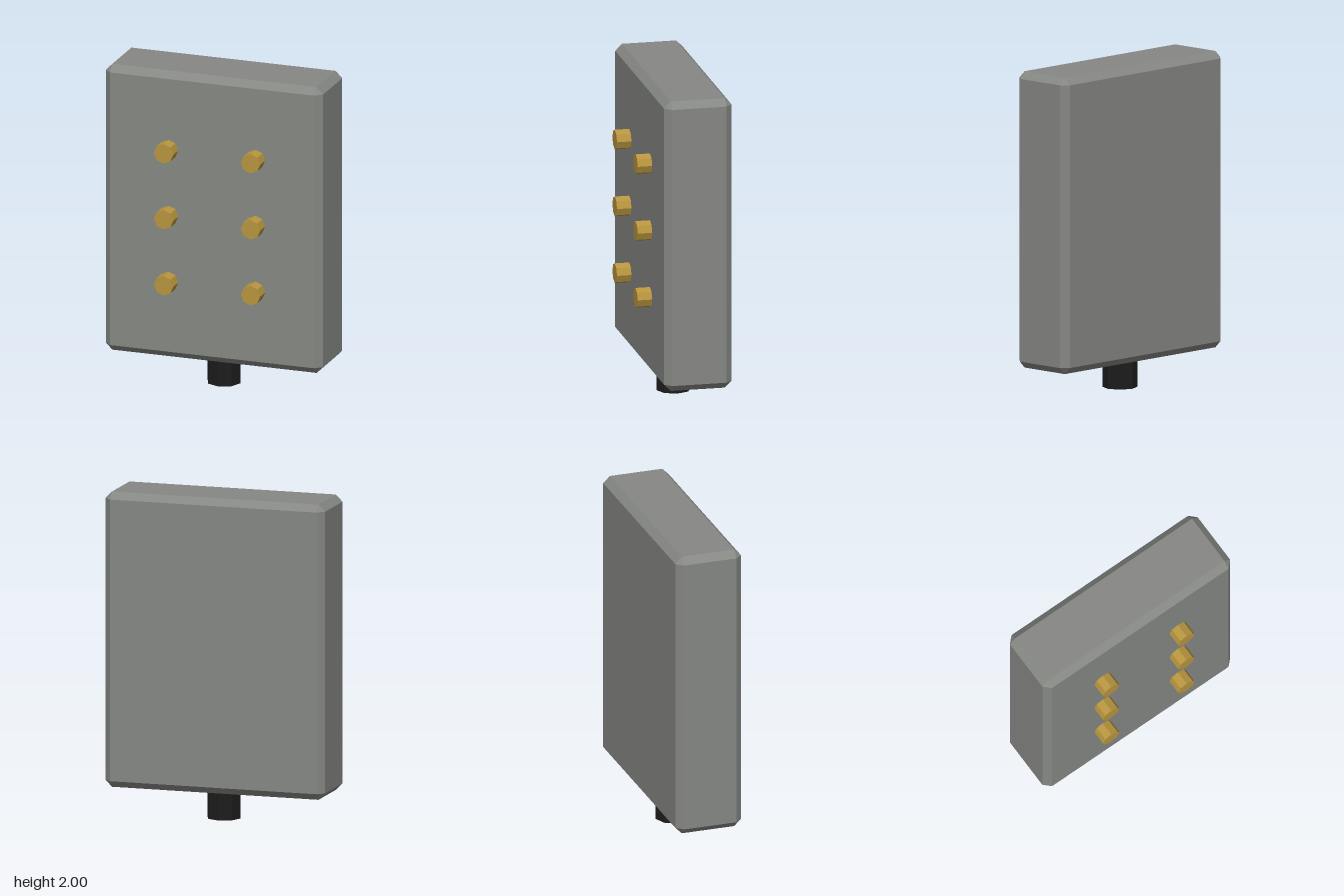
import * as THREE from 'three';
import { ConvexGeometry } from 'three/addons/geometries/ConvexGeometry.js';

// Box with every edge bevelled flat and triangular corners
function chamferedBox(w, h, d, c) {
  const x = w / 2, y = h / 2, z = d / 2, points = [];
  for (const sx of [-1, 1]) for (const sy of [-1, 1]) for (const sz of [-1, 1]) {
    points.push(
      new THREE.Vector3(sx * x, sy * (y - c), sz * (z - c)),
      new THREE.Vector3(sx * (x - c), sy * y, sz * (z - c)),
      new THREE.Vector3(sx * (x - c), sy * (y - c), sz * z)
    );
  }
  return new ConvexGeometry(points);
}

export function createModel() {
  const model = new THREE.Group();
  model.name = 'connectorBlock';

  const material = (name, color) => {
    const m = new THREE.MeshStandardMaterial({ color, flatShading: true });
    m.name = name;
    return m;
  };
  const grey = material('housingGrey', 0x868884);
  const brass = material('brass', 0xb8953f);
  const black = material('cableBlack', 0x1c1c1c);

  const add = (name, geometry, mat, x, y, z) => {
    const mesh = new THREE.Mesh(geometry, mat);
    mesh.name = name;
    mesh.position.set(x, y, z);
    model.add(mesh);
  };

  // Housing
  add('housing', chamferedBox(1.4, 1.82, 0.42, 0.042), grey, 0, 1.09, -0.045);

  // Two columns of three contact pins on the front
  const pin = new THREE.CylinderGeometry(0.062, 0.062, 0.17, 8).rotateX(Math.PI / 2);
  for (const [side, x] of [['right', -0.28], ['left', 0.28]])
    [0.67, 1.09, 1.51].forEach((y, i) => add(`${side}Pin${i + 1}`, pin, brass, x, y, 0.17));

  // Cable stub under the housing
  add('cableStub', new THREE.CylinderGeometry(0.105, 0.105, 0.24, 8), black, 0, 0.12, -0.045);

  return model;
}
